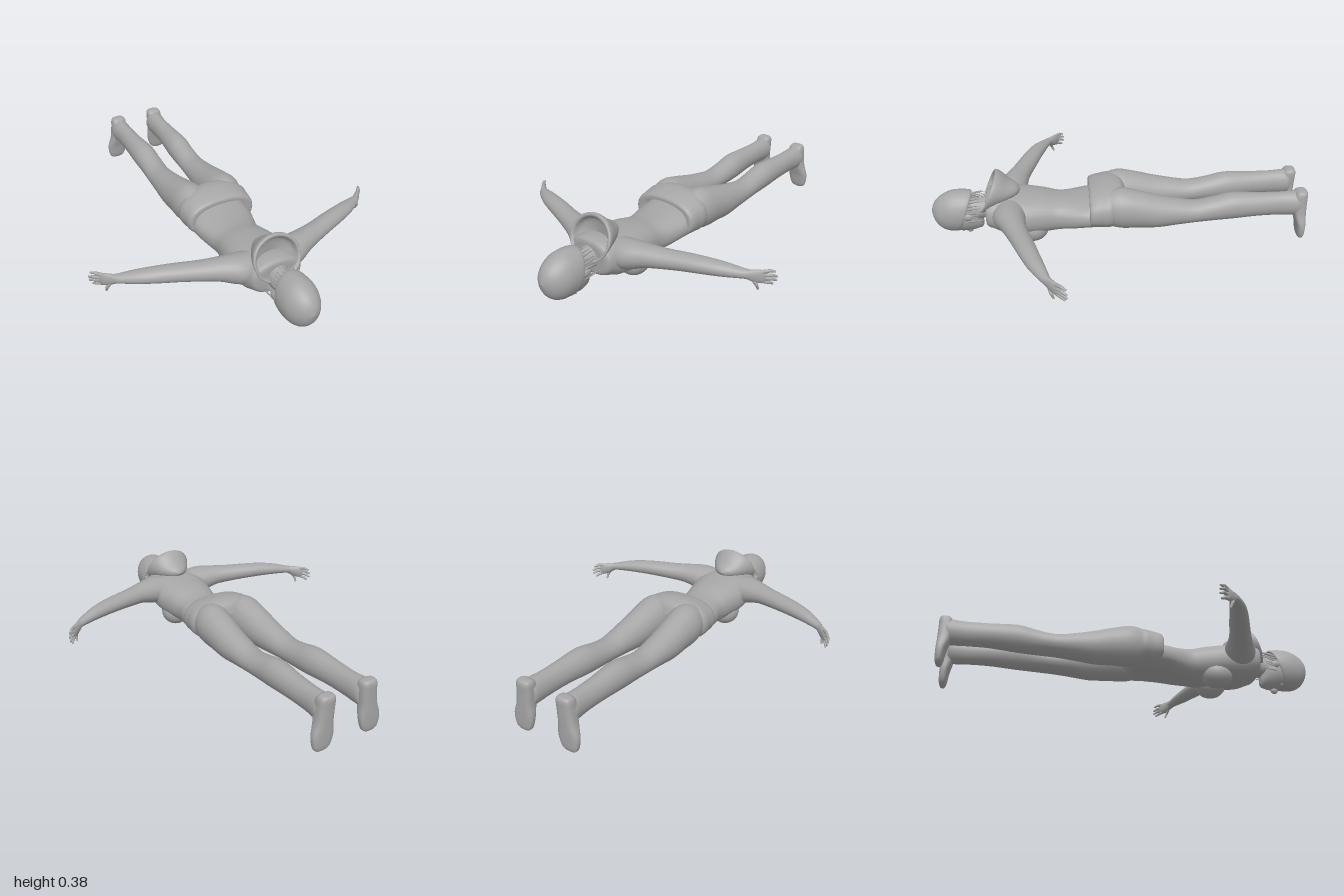
import * as THREE from 'three';

const grey = new THREE.MeshStandardMaterial({ color: 0xa6a6a6, side: THREE.DoubleSide });
grey.name = 'plain grey';

// Smooth interpolation through rows of numbers
function smoothRows(rows, steps) {
  const out = [];
  for (let i = 0; i < rows.length - 1; i++) {
    const a = rows[Math.max(i - 1, 0)], b = rows[i], c = rows[i + 1], d = rows[Math.min(i + 2, rows.length - 1)];
    for (let s = 0; s < steps; s++) {
      const t = s / steps;
      out.push(b.map((_, k) => b[k] + 0.5 * t * (c[k] - a[k]
        + t * (2 * a[k] - 5 * b[k] + 4 * c[k] - d[k] + t * (3 * (b[k] - c[k]) + d[k] - a[k])))));
    }
  }
  out.push(rows[rows.length - 1]);
  return out;
}

// Loft of rounded rings; a row is [x, y, z, radiusU, radiusV], axis 0/1/2 = x/y/z
function loft(name, rows, axis, { power = 2, bend = null, sides = 28, steps = 4 } = {}) {
  const rings = smoothRows(rows, steps), pos = [], idx = [];
  const u = (axis + 1) % 3, v = (axis + 2) % 3;
  const shape = (c) => Math.sign(c) * Math.pow(Math.abs(c), 2 / power);
  for (const r of rings) {
    for (let j = 0; j < sides; j++) {
      const t = (j / sides) * Math.PI * 2, p = r.slice(0, 3);
      p[u] += Math.max(r[3], 0) * shape(Math.cos(t));
      p[v] += Math.max(r[4], 0) * shape(Math.sin(t));
      if (bend) bend(p);
      pos.push(...p);
    }
  }
  const flip = rows[rows.length - 1][axis] < rows[0][axis];
  const tri = (a, b, c) => (flip ? idx.push(a, c, b) : idx.push(a, b, c));
  for (let i = 0; i < rings.length - 1; i++) {
    for (let j = 0; j < sides; j++) {
      const k = (j + 1) % sides, a = i * sides, b = a + sides;
      tri(a + j, a + k, b + j);
      tri(a + k, b + k, b + j);
    }
  }
  const geo = new THREE.BufferGeometry();
  geo.setAttribute('position', new THREE.Float32BufferAttribute(pos, 3));
  geo.setIndex(idx);
  geo.computeVertexNormals();
  return named(geo, name);
}

function named(geo, name) {
  const mesh = new THREE.Mesh(geo, grey);
  mesh.name = name;
  return mesh;
}

function ellipsoid(name, [x, y, z], [a, b, c]) {
  return named(new THREE.SphereGeometry(1, 24, 16).scale(a, b, c).translate(x, y, z), name);
}

// Tapered rod between two points
function rod(name, from, to, r0, r1, sides = 8) {
  const a = new THREE.Vector3(...from), b = new THREE.Vector3(...to), d = b.clone().sub(a);
  const geo = new THREE.CylinderGeometry(r1, r0, d.length(), sides);
  geo.applyQuaternion(new THREE.Quaternion().setFromUnitVectors(new THREE.Vector3(0, 1, 0), d.normalize()));
  geo.translate(...a.add(b).multiplyScalar(0.5).toArray());
  return named(geo, name);
}

export function createModel() {
  const model = new THREE.Group();
  model.name = 'lyingFigure';

  // Shirt and trouser top
  model.add(loft('shirt', [
    [0, 0.16, 0.1, 0.17, 0.08], [0, 0.153, 0.18, 0.163, 0.078], [0, 0.145, 0.25, 0.146, 0.083],
    [0, 0.142, 0.32, 0.13, 0.09], [0, 0.148, 0.4, 0.143, 0.102], [0, 0.155, 0.5, 0.163, 0.107],
    [0, 0.163, 0.6, 0.158, 0.108], [0, 0.175, 0.66, 0.143, 0.1], [0, 0.18, 0.7, 0.125, 0.085],
    [0, 0.18, 0.705, 0.06, 0.05]], 2, { power: 2.3 }));
  model.add(loft('trouserTop', [
    [0, 0.2, -0.04, 0.04, 0.05], [0, 0.2, -0.015, 0.13, 0.1], [0, 0.198, 0.04, 0.195, 0.117],
    [0, 0.195, 0.1, 0.195, 0.113], [0, 0.19, 0.153, 0.188, 0.1], [0, 0.19, 0.158, 0.155, 0.075]],
  2, { power: 2.3 }));

  // Hood: a shell open toward the head, with a slanted rim
  model.add(loft('hood', [
    [0, 0.28, 0.52, 0, 0], [0, 0.28, 0.535, 0.045, 0.028], [0, 0.28, 0.57, 0.085, 0.055],
    [0, 0.282, 0.61, 0.115, 0.088], [0, 0.275, 0.64, 0.13, 0.11], [0, 0.272, 0.642, 0.115, 0.098],
    [0, 0.265, 0.61, 0.095, 0.075], [0, 0.25, 0.585, 0, 0]], 2, {
    bend: (p) => { p[2] += (0.385 - p[1]) * 0.42 * Math.max(0, (p[2] - 0.52) / 0.12); },
  }));

  // Neck, head and close-fitting cap
  model.add(loft('neck', [
    [0, 0.19, 0.6, 0.075, 0.07], [0, 0.18, 0.7, 0.058, 0.06], [0, 0.17, 0.76, 0.056, 0.06],
    [0, 0.165, 0.84, 0.06, 0.065]], 2));
  model.add(loft('head', [
    [0, 0.09, 0.73, 0, 0], [0, 0.092, 0.735, 0.03, 0.03], [0, 0.125, 0.765, 0.062, 0.075],
    [0, 0.143, 0.8, 0.08, 0.098], [0, 0.15, 0.84, 0.087, 0.104], [0, 0.16, 0.9, 0.087, 0.106],
    [0, 0.162, 0.96, 0.06, 0.07], [0, 0.162, 0.985, 0, 0]], 2));
  model.add(loft('cap', [
    [0, 0.16, 0.822, 0.082, 0.1], [0, 0.16, 0.825, 0.093, 0.113], [0, 0.163, 0.86, 0.096, 0.117],
    [0, 0.165, 0.91, 0.091, 0.112], [0, 0.163, 0.955, 0.07, 0.088], [0, 0.163, 0.985, 0.04, 0.05],
    [0, 0.163, 1, 0, 0]], 2, {
    bend: (p) => { p[2] -= (p[1] - 0.15) * 0.35 * Math.max(0, (1 - p[2]) / 0.18); },
  }));
  model.add(ellipsoid('nose', [0, 0.043, 0.808], [0.014, 0.022, 0.02]));
  model.add(ellipsoid('mouth', [0, 0.056, 0.772], [0.024, 0.012, 0.009]));
  model.add(ellipsoid('chin', [0, 0.078, 0.746], [0.03, 0.024, 0.018]));

  // Short pointed locks around the nape and temples
  for (let i = 0; i < 19; i++) {
    const t = -0.35 + (i / 18) * (Math.PI + 0.7), c = Math.cos(t), s = Math.sin(t);
    const r = i % 2 ? 0.105 : 0.088, z = i % 3 ? 0.735 : 0.715;
    model.add(rod('hairLock', [0.08 * c, 0.16 + 0.085 * s, 0.815], [r * c, 0.17 + 0.09 * s, z], 0.007, 0.001, 5));
  }

  // Paired parts
  for (const s of [1, -1]) {
    const side = new THREE.Group();
    side.name = s > 0 ? 'leftSide' : 'rightSide';
    const m = (rows) => rows.map(([x, ...rest]) => [s * x, ...rest]);

    side.add(ellipsoid('breast', [s * 0.073, 0.078, 0.465], [0.075, 0.072, 0.085]));
    side.add(ellipsoid('ear', [s * 0.086, 0.165, 0.8], [0.009, 0.018, 0.026]));
    side.add(ellipsoid('eye', [s * 0.035, 0.062, 0.838], [0.016, 0.01, 0.009]));

    side.add(loft('arm', m([
      [0.08, 0.185, 0.58, 0.075, 0.085], [0.16, 0.193, 0.577, 0.074, 0.084], [0.25, 0.205, 0.552, 0.057, 0.066],
      [0.33, 0.208, 0.525, 0.049, 0.058], [0.42, 0.212, 0.494, 0.044, 0.054], [0.51, 0.213, 0.464, 0.04, 0.049],
      [0.6, 0.21, 0.43, 0.033, 0.042], [0.68, 0.202, 0.392, 0.023, 0.028], [0.71, 0.197, 0.371, 0.024, 0.022]]), 0));
    side.add(loft('palm', m([
      [0.69, 0.199, 0.385, 0.022, 0.022], [0.715, 0.192, 0.364, 0.03, 0.021], [0.742, 0.186, 0.342, 0.034, 0.018],
      [0.757, 0.183, 0.33, 0.026, 0.012], [0.76, 0.183, 0.328, 0, 0]]), 0));
    const fingers = [
      [[0.742, 0.21, 0.342], [0.768, 0.214, 0.315], [0.785, 0.206, 0.292]],
      [[0.748, 0.194, 0.337], [0.778, 0.193, 0.312], [0.793, 0.181, 0.288]],
      [[0.748, 0.178, 0.337], [0.776, 0.173, 0.31], [0.79, 0.16, 0.287]],
      [[0.742, 0.163, 0.342], [0.765, 0.154, 0.318], [0.777, 0.142, 0.297]],
      [[0.712, 0.177, 0.37], [0.73, 0.148, 0.362], [0.732, 0.12, 0.35]],
    ];
    fingers.forEach((f, i) => {
      const name = i === 4 ? 'thumb' : 'finger', [a, b, c] = m(f);
      side.add(rod(name, a, b, 0.0095, 0.008), ellipsoid(name, b, [0.008, 0.008, 0.008]));
      side.add(rod(name, b, c, 0.008, 0.005));
    });

    side.add(loft('trouserLeg', m([
      [0.1, 0.2, 0.1, 0.07, 0.08], [0.1, 0.2, 0, 0.095, 0.112], [0.104, 0.19, -0.1, 0.09, 0.103],
      [0.108, 0.175, -0.2, 0.083, 0.09], [0.109, 0.17, -0.3, 0.074, 0.073], [0.11, 0.168, -0.4, 0.067, 0.06],
      [0.109, 0.179, -0.5, 0.065, 0.066], [0.11, 0.193, -0.6, 0.066, 0.074], [0.114, 0.197, -0.74, 0.056, 0.066],
      [0.115, 0.198, -0.86, 0.05, 0.066], [0.118, 0.2, -0.955, 0.053, 0.068], [0.118, 0.2, -0.958, 0.03, 0.04]]), 2));
    side.add(loft('shoe', m([
      [0.142, 0, -0.98, 0, 0], [0.142, 0.006, -0.979, 0.012, 0.03], [0.14, 0.03, -0.978, 0.02, 0.049],
      [0.136, 0.085, -0.975, 0.025, 0.058], [0.128, 0.15, -0.966, 0.034, 0.047], [0.122, 0.22, -0.962, 0.038, 0.045],
      [0.12, 0.262, -0.966, 0.034, 0.042], [0.12, 0.278, -0.97, 0.02, 0.028], [0.12, 0.28, -0.97, 0, 0]]),
    1, { power: 2.8 }));
    model.add(side);
  }
  return model;
}
